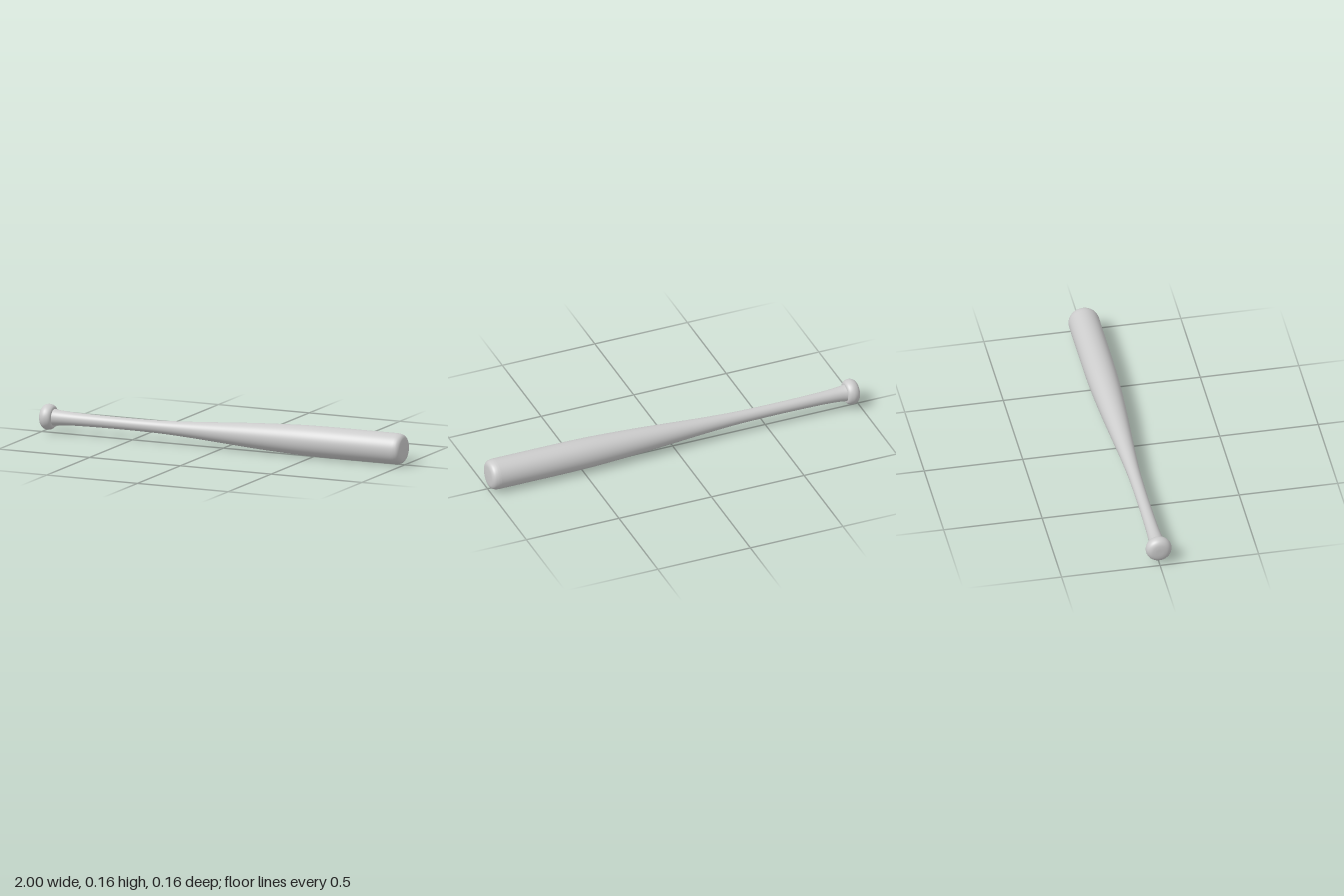
import * as THREE from 'three';

const RADIUS = 0.078;
const material = new THREE.MeshStandardMaterial({ color: 0xcccccc });

// Turned part: control points are [x along the bat, radius], smoothed by a spline
function turned(name, points, samples) {
  const curve = new THREE.SplineCurve(points.map(([x, r]) => new THREE.Vector2(r, x)));
  const profile = curve.getPoints(samples);
  profile.forEach((p) => { p.x = Math.max(p.x, 0); });
  const geometry = new THREE.LatheGeometry(profile, 64);
  geometry.rotateZ(-Math.PI / 2);
  const mesh = new THREE.Mesh(geometry, material);
  mesh.name = name;
  mesh.position.y = RADIUS;
  return mesh;
}

export function createModel() {
  const bat = new THREE.Group();
  bat.name = 'bat';

  // Rounded knob at the end of the handle
  bat.add(turned('knob', [
    [-1, 0], [-0.999, 0.025], [-0.994, 0.045], [-0.982, 0.059], [-0.963, 0.065],
    [-0.944, 0.061], [-0.933, 0.052], [-0.93, 0.04],
  ], 56));

  // Flared handle swelling gradually into the barrel
  bat.add(turned('handleAndBarrel', [
    [-0.94, 0.044], [-0.91, 0.039], [-0.86, 0.035], [-0.78, 0.032], [-0.6, 0.03],
    [-0.42, 0.031], [-0.3, 0.034], [-0.15, 0.042], [0, 0.052], [0.15, 0.062],
    [0.3, 0.07], [0.45, 0.076], [0.6, RADIUS], [0.78, RADIUS], [0.955, RADIUS],
  ], 84));

  // Barrel end: rounded rim and a nearly flat face
  bat.add(turned('barrelEnd', [
    [0.955, RADIUS], [0.969, 0.0765], [0.983, 0.072], [0.992, 0.064],
    [0.997, 0.052], [0.999, 0.03], [1, 0],
  ], 48));

  return bat;
}
